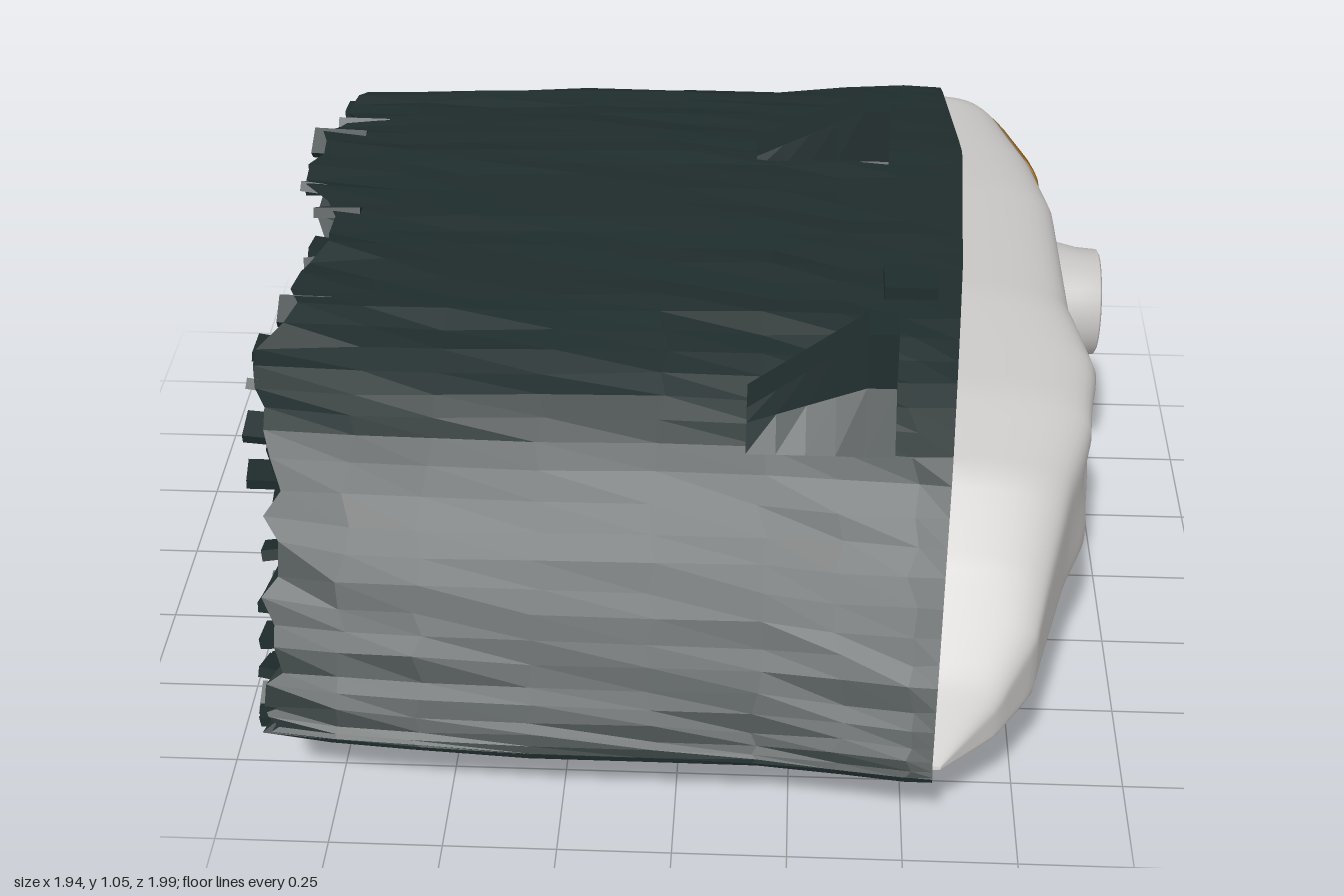
import * as THREE from 'three';

const mat = (name, color, extra = {}) => {
  const m = new THREE.MeshStandardMaterial({ color, ...extra });
  m.name = name;
  return m;
};

// seeded jitter in -1..1
let seed = 7;
const rnd = () => ((seed = (seed * 16807) % 2147483647) / 2147483647) * 2 - 1;

// piecewise linear curve through [z, value] pairs
const curve = (pts) => (z) => {
  if (z <= pts[0][0]) return pts[0][1];
  for (let i = 1; i < pts.length; i++) {
    const [a, fa] = pts[i - 1], [b, fb] = pts[i];
    if (z <= b) return fa + ((fb - fa) * (z - a)) / (b - a);
  }
  return pts[pts.length - 1][1];
};

// lens outline, rim position and crown depth, all along z
const lensTop = curve([[-0.97, 0.7], [-0.93, 0.83], [-0.84, 0.89], [-0.4, 0.885], [0.05, 0.86], [0.35, 0.8], [0.55, 0.72], [0.72, 0.59], [0.88, 0.41], [0.98, 0.26]]);
const lensBot = curve([[-0.97, 0.7], [-0.93, 0.52], [-0.88, 0.42], [-0.75, 0.37], [-0.4, 0.33], [0, 0.31], [0.5, 0.29], [0.98, 0.25]]);
const rimX = curve([[-0.97, 0.58], [-0.5, 0.63], [0, 0.61], [0.6, 0.57], [0.98, 0.54]]);
const crownX = curve([[-0.97, 0.62], [-0.9, 0.7], [-0.8, 0.76], [-0.6, 0.83], [-0.4, 0.87], [0, 0.88], [0.2, 0.93], [0.38, 0.91], [0.5, 0.86], [0.8, 0.77], [0.9, 0.69], [0.98, 0.57]]);

// housing outline and the uneven length of its rear end
const bodyTop = curve([[-0.99, 0.7], [-0.95, 0.84], [-0.85, 0.91], [-0.5, 0.92], [-0.1, 0.9], [0.2, 0.88], [0.4, 0.83], [0.58, 0.75], [0.75, 0.59], [0.9, 0.4], [1, 0.24]]);
const bodyBot = curve([[-0.99, 0.7], [-0.95, 0.5], [-0.86, 0.36], [-0.75, 0.29], [-0.62, 0.22], [-0.5, 0.17], [-0.1, 0.16], [0.4, 0.17], [0.7, 0.2], [1, 0.23]]);
const backX = curve([[-0.9, -0.89], [-0.57, -0.92], [-0.55, -0.96], [-0.29, -0.95], [-0.27, -0.9], [0.02, -0.89], [0.04, -0.92], [0.23, -0.92], [0.25, -0.96], [0.53, -0.95], [0.56, -0.9], [0.95, -0.88]]);

// surface grid; fn(i, j) gives a point, faces look along di x dj
function grid(nu, nv, fn) {
  const pos = [], idx = [], w = nu + 1;
  for (let j = 0; j <= nv; j++) for (let i = 0; i <= nu; i++) pos.push(...fn(i, j));
  for (let j = 0; j < nv; j++) for (let i = 0; i < nu; i++) {
    const a = j * w + i;
    idx.push(a, a + 1, a + w + 1, a, a + w + 1, a + w);
  }
  const g = new THREE.BufferGeometry();
  g.setAttribute('position', new THREE.Float32BufferAttribute(pos, 3));
  g.setIndex(idx);
  g.computeVertexNormals();
  return g;
}

const dent = (z, y, z0, y0, r) => Math.exp(-((z - z0) ** 2 + (y - y0) ** 2) / (r * r));
function lensX(z, y) {
  const b = lensBot(z), t = lensTop(z);
  const v = THREE.MathUtils.clamp((y - b) / Math.max(t - b, 1e-4), 0, 1);
  const h = Math.sqrt(Math.max(0, 1 - (2 * v - 1) ** 8));
  const dents = 0.03 * dent(z, y, 0.3, 0.6, 0.1) + 0.03 * dent(z, y, 0.02, 0.45, 0.1);
  return rimX(z) + (crownX(z) - rimX(z) - dents) * h;
}

// closed outline point [z, y]: over the top from +z to -z, back underneath
const RING = 96;
function outline(i, top, bot, zMax, zMin) {
  const a = (2 * Math.PI * (i % RING)) / RING;
  const z = (zMax + zMin) / 2 + (Math.cos(a) * (zMax - zMin)) / 2;
  return [z, a <= Math.PI ? top(z) : bot(z)];
}
const lensRing = (i) => outline(i, lensTop, lensBot, 0.98, -0.97);
const bodyRing = (i) => outline(i, bodyTop, bodyBot, 1, -0.99);

function housingGeometry() {
  const CY = 0.55;
  // [x, outline scale in z, scale in y], front to rear
  const rings = [[0.5, 1, 1], [0.35, 0.98, 1], [0.18, 0.96, 1], [-0.05, 0.96, 1], [-0.3, 0.96, 0.99], [-0.55, 0.96, 0.97], [-0.72, 0.95, 0.96]];
  const rows = [];
  // bezel step around the lens
  for (const [s, dx] of [[0.9, -0.06], [1, -0.01]]) {
    rows.push((i) => {
      const [z, y] = lensRing(i);
      return [rimX(z) + dx, CY + (y - CY) * s, z * s];
    });
  }
  // front lip, reaching further forward under the lens
  rows.push((i) => {
    const [z, y] = bodyRing(i);
    const under = y < 0.3 ? 0.05 * (1 - Math.min(1, Math.abs(z + 0.1))) : 0;
    return [rimX(z) + 0.012 + under, y, z];
  });
  // long shell with shallow lengthwise grooves
  for (const [x, sz, sy] of rings) {
    rows.push((i) => {
      const [z, y] = bodyRing(i);
      const groove = 0.014 * Math.sin(z * 19) * THREE.MathUtils.clamp(0.5 - x, 0, 1);
      return [x + rnd() * 0.015, CY + (y - CY) * (sy - Math.abs(groove)) + rnd() * 0.006, z * sz + groove * 0.5];
    });
  }
  // broken, uneven rear end, closing to the middle
  for (const s of [1, 0.93, 0.75, 0.5, 0.25, 0]) {
    rows.push((i) => {
      const [z, y] = bodyRing(i), zz = z * 0.93 * s;
      const r = s > 0 ? 1 : 0;
      return [backX(zz) + (0.02 + 0.025 * rnd()) * r + (s < 1 ? 0.03 : 0), CY + (y - CY) * 0.95 * s + rnd() * 0.012 * r, zz];
    });
  }
  const pts = rows.map((f) => {
    const ring = Array.from({ length: RING }, (_, i) => f(i));
    return [...ring, ring[0]];
  });
  return grid(RING, pts.length - 1, (i, j) => pts[j][i]);
}

// mounting tab: holed plate that slopes down into the shell behind it
function tabGeometry(zBase, zTip, base, tip, wBase, wTip) {
  const b = -zBase, s = -zTip, d = Math.sign(tip - base), shoulder = tip - d * 0.13;
  const shape = new THREE.Shape();
  shape.moveTo(b - wBase / 2, base);
  shape.lineTo(s - wTip / 2, shoulder);
  shape.lineTo(s - wTip / 2 + 0.01, tip);
  shape.lineTo(s + wTip / 2 - 0.01, tip);
  shape.lineTo(s + wTip / 2, shoulder);
  shape.lineTo(b + wBase / 2, base);
  const hole = new THREE.Path();
  hole.absellipse(s, tip - d * 0.06, 0.022, 0.016, 0, Math.PI * 2);
  shape.holes.push(hole);
  const depth = 0.32;
  const g = new THREE.ExtrudeGeometry(shape, { depth, steps: 5, bevelEnabled: false, curveSegments: 6 });
  const p = g.attributes.position;
  for (let i = 0; i < p.count; i++) {
    const f = Math.min(1, 0.25 + (0.75 * p.getZ(i)) / (depth * 0.8));
    p.setY(i, base + (p.getY(i) - base) * f);
  }
  g.rotateY(Math.PI / 2).translate(0.46 - depth, 0, 0);
  g.computeVertexNormals();
  return g;
}

// plate that follows the lens, from a closed [z, y] outline scaled about its middle
function lensPlate(edge, size, lift) {
  const STEP = 8, RINGS = 12, n = edge.length;
  return grid(n * STEP, RINGS, (i, j) => {
    const k = Math.floor(i / STEP), f = (i % STEP) / STEP, s = size * (1 - j / RINGS);
    const a = edge[k % n], b = edge[(k + 1) % n];
    const z = -0.69 + (a[0] + (b[0] - a[0]) * f + 0.69) * s;
    const y = 0.62 + (a[1] + (b[1] - a[1]) * f - 0.62) * s;
    return [lensX(z, y) + lift, y, z];
  });
}

export function createModel() {
  const model = new THREE.Group();
  model.name = 'headlamp';
  const shell = mat('dark shell', 0x1f2c2c, { flatShading: true, side: THREE.DoubleSide });
  const lensMat = mat('pale lens', 0xc7c5c3, { side: THREE.DoubleSide });
  const amber = mat('amber', 0xd07a0a, { side: THREE.DoubleSide });
  const tan = mat('amber fringe', 0xcba878, { side: THREE.DoubleSide });
  const capMat = mat('lamp cap', 0x2b3a3c);
  const add = (name, geo, m, parent = model) => {
    const mesh = new THREE.Mesh(geo, m);
    mesh.name = name;
    parent.add(mesh);
    return mesh;
  };

  add('housing', housingGeometry(), shell);

  // splinters on the broken rear end
  const splinters = new THREE.Group();
  splinters.name = 'rearSplinters';
  model.add(splinters);
  for (let k = 0; k < 44; k++) {
    const [z, y] = bodyRing(Math.floor((k * RING) / 44));
    const s = 0.86 + rnd() * 0.06, len = 0.11 + rnd() * 0.04;
    const m = add('splinter', new THREE.BoxGeometry(len, 0.025, 0.07), shell, splinters);
    m.position.set(backX(z * s) + len / 2 - 0.008, 0.55 + (y - 0.55) * s, z * s);
    m.rotation.set(rnd() * 0.7, rnd() * 0.15, rnd() * 0.15);
  }

  // clear lens bulging out of the bezel
  const NU = 80, NV = 40;
  add('lens', grid(NU, NV, (i, j) => {
    const z = 0.005 + 0.975 * Math.cos((Math.PI * i) / NU);
    const v = 0.5 - 0.5 * Math.cos((Math.PI * j) / NV);
    const y = lensBot(z) + (lensTop(z) - lensBot(z)) * v;
    return [lensX(z, y), y, z];
  }), lensMat);

  // amber turn signal with a soft fringe, following the lens surface
  const signal = [[-0.574, 0.837], [-0.89, 0.83], [-0.935, 0.763], [-0.92, 0.62], [-0.88, 0.49], [-0.8, 0.427], [-0.44, 0.36], [-0.407, 0.41], [-0.493, 0.603]];
  add('turnSignalFringe', lensPlate(signal, 1.035, 0.005), tan);
  add('turnSignal', lensPlate(signal, 0.99, 0.009), amber);

  // round lamp collar and its dark cap
  const collar = [[0.15, 0.8], [0.142, 0.88], [0.132, 0.92], [0.128, 0.968], [0.12, 0.973], [0.1, 0.965]].map(([r, h]) => new THREE.Vector2(r, h));
  const lamp = new THREE.Group();
  lamp.name = 'lamp';
  lamp.position.set(0, 0.635, -0.273);
  lamp.rotation.z = -Math.PI / 2;
  model.add(lamp);
  add('lampCollar', new THREE.LatheGeometry(collar, 32), lensMat, lamp);
  add('lampCap', new THREE.CylinderGeometry(0.113, 0.113, 0.02, 24), capMat, lamp).position.y = 0.964;

  // mounting tabs: base z, tip z, base y, tip y, base width, tip width
  const tabs = [
    ['frontTopTab', 0.445, 0.44, 0.76, 1.02, 0.24, 0.11],
    ['rearTopTab', -0.495, -0.495, 0.88, 1.05, 0.22, 0.12],
    ['frontBottomTab', 0.745, 0.745, 0.24, 0.07, 0.17, 0.12],
    ['rearBottomTab', -0.67, -0.715, 0.3, 0.0, 0.28, 0.13],
  ];
  for (const [name, ...t] of tabs) add(name, tabGeometry(...t), shell);

  // small clip on the top edge
  add('topClip', new THREE.BoxGeometry(0.12, 0.05, 0.1), shell).position.set(0.5, 0.89, 0.08);
  return model;
}
